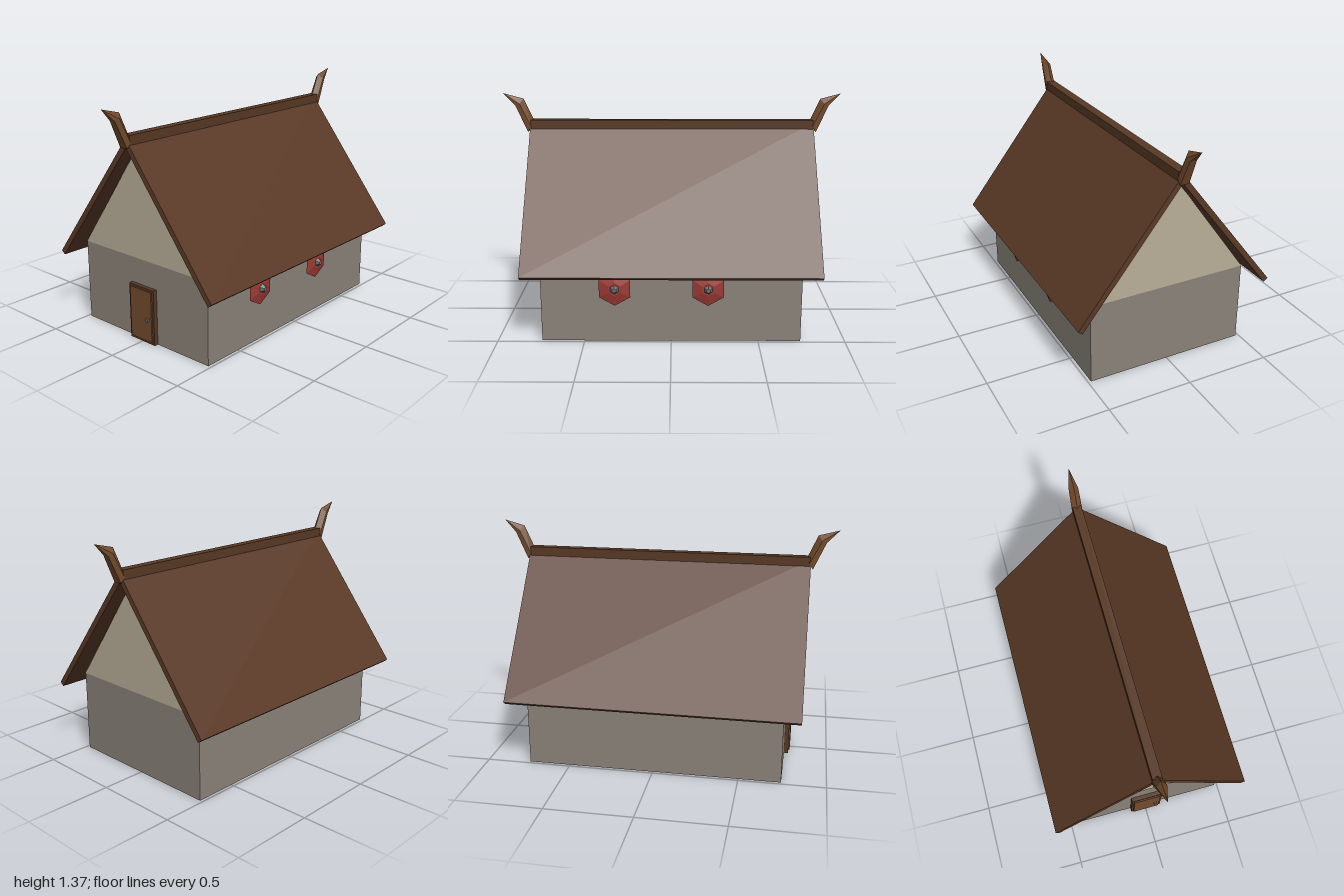
import * as THREE from 'three';
import { ConvexGeometry } from 'three/addons/geometries/ConvexGeometry.js';

const mat = (name, color) => {
  const m = new THREE.MeshStandardMaterial({ color, flatShading: true });
  m.name = name;
  return m;
};

export function createModel() {
  const house = new THREE.Group();
  house.name = 'longhouse';

  const stone = mat('stone grey', 0x8a8279);
  const plaster = mat('plaster beige', 0xb8ae98);
  const roofWood = mat('roof brown', 0x5a3926);
  const trimWood = mat('trim brown', 0x573823);
  const lightWood = mat('light wood', 0x724b2c);
  const red = mat('shield red', 0x9a3a33);
  const iron = mat('iron grey', 0x70706e);

  const add = (parent, name, geometry, material, x = 0, y = 0, z = 0) => {
    const mesh = new THREE.Mesh(geometry, material);
    mesh.name = name;
    mesh.position.set(x, y, z);
    parent.add(mesh);
    return mesh;
  };
  const box = (parent, name, w, h, d, material, x, y, z) =>
    add(parent, name, new THREE.BoxGeometry(w, h, d), material, x, y, z);
  // Extrudes an x-y outline evenly to both sides of z = 0
  const prism = (points, depth) => new THREE.ExtrudeGeometry(
    new THREE.Shape(points.map(([x, y]) => new THREE.Vector2(x, y))),
    { depth, bevelEnabled: false }).translate(0, 0, -depth / 2);

  // Walls and gable block
  box(house, 'walls', 0.964, 0.485, 1.49, stone, 0, 0.2425, 0);
  add(house, 'gables', prism([[-0.482, 0.485], [0.482, 0.485], [0, 1.15]], 1.494), plaster);

  // Roof slabs
  for (const s of [1, -1]) {
    const outline = [[0, 1.14], [0.575, 0.404], [0.6, 0.424], [0, 1.192]].map(([x, y]) => [s * x, y]);
    add(house, s > 0 ? 'leftRoof' : 'rightRoof', prism(outline, 1.69), roofWood);
  }
  box(house, 'ridgeBeam', 0.054, 0.065, 1.68, trimWood, 0, 1.178, 0);

  // Curved horn finials: five-sided sections (x, y, z) ending in a point
  const section = (ridge, side, outer) => [ridge, side, outer].flatMap(([x, y, z]) =>
    (x ? [1, -1] : [1]).map(s => new THREE.Vector3(s * x, y, z)));
  const base = section([0, 1.2, 0.82], [0.031, 1.172, 0.836], [0.027, 1.14, 0.857]);
  const bend = section([0, 1.335, 0.88], [0.028, 1.308, 0.902], [0.02, 1.297, 0.928]);
  const tip = new THREE.Vector3(0, 1.367, 1);
  for (const [name, turn] of [['frontFinial', 0], ['backFinial', Math.PI]]) {
    const finial = new THREE.Group();
    finial.name = name;
    finial.rotation.y = turn;
    add(finial, 'hornBase', new ConvexGeometry([...base, ...bend]), lightWood);
    add(finial, 'hornTip', new ConvexGeometry([...bend, tip]), lightWood);
    house.add(finial);
  }

  // Door
  const door = new THREE.Group();
  door.name = 'door';
  box(door, 'doorFrame', 0.194, 0.332, 0.03, trimWood, 0, 0.166, 0.755);
  box(door, 'doorPanel', 0.166, 0.304, 0.03, lightWood, 0, 0.168, 0.763);
  box(door, 'doorKnob', 0.017, 0.02, 0.012, iron, 0.056, 0.15, 0.782);
  house.add(door);

  // Six-sided shields on the left wall, axis turned to +x
  for (const z of [0.322, -0.21]) {
    const shield = new THREE.Group();
    shield.name = 'shield';
    shield.position.set(0.482, 0.322, z);
    shield.rotation.z = -Math.PI / 2;
    const part = (name, rTop, rBottom, h, y, material) => {
      const geometry = new THREE.CylinderGeometry(rTop, rBottom, h, 6);
      geometry.rotateY(Math.PI / 2);
      add(shield, name, geometry, material, 0, y, 0);
    };
    part('shieldBack', 0.103, 0.08, 0.011, 0.0055, red);
    part('shieldFace', 0.04, 0.103, 0.015, 0.0185, red);
    part('shieldBoss', 0.013, 0.027, 0.024, 0.037, iron);
    house.add(shield);
  }

  return house;
}
